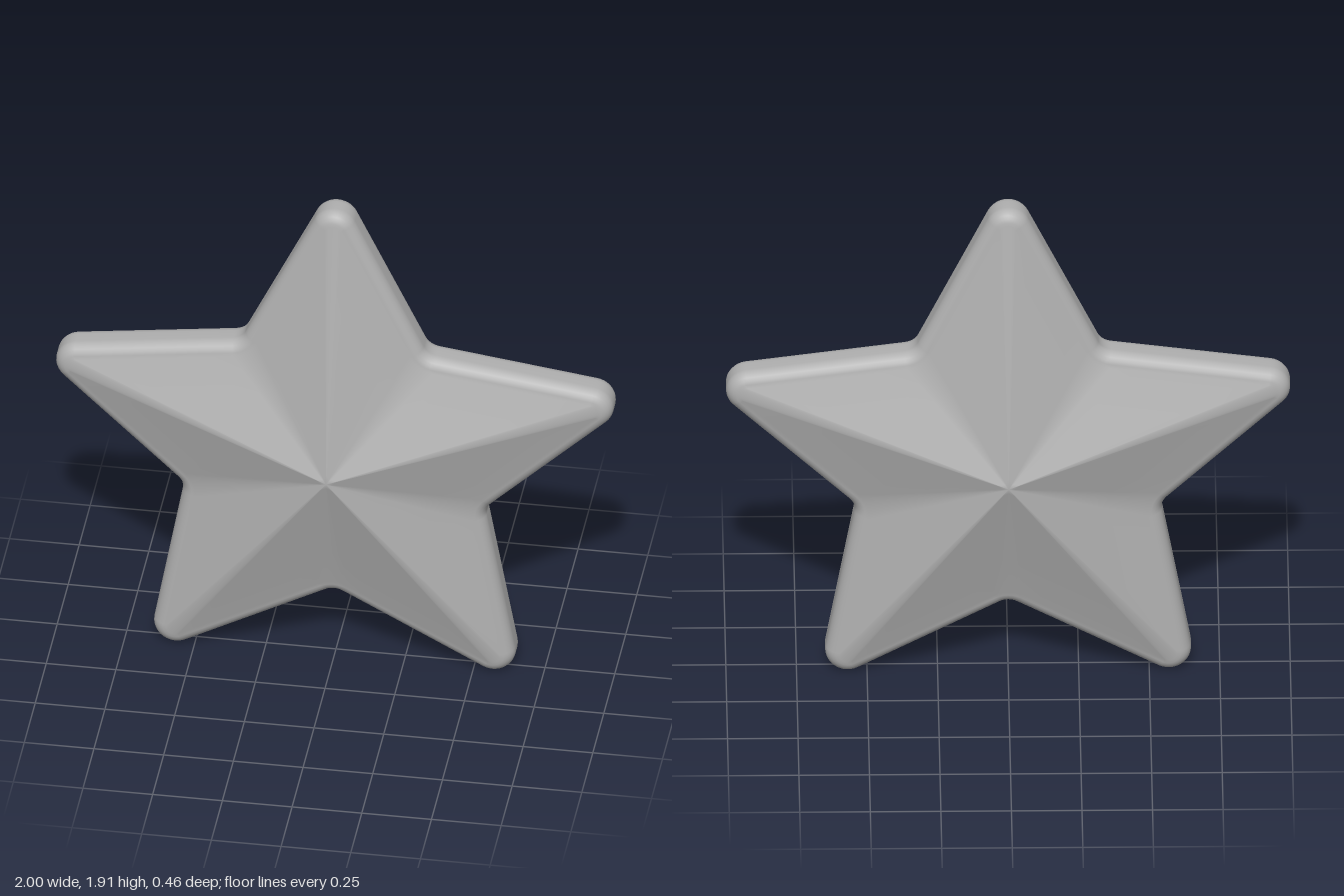
import * as THREE from 'three';

const TIP_R = 0.08;                              // rounding of the points
const TIP_D = (1 - TIP_R) / Math.cos(Math.PI / 10); // centre to rounding centre
const VALLEY_R = 0.06;                           // rounding of the inner corners
const EDGE_ANGLE = THREE.MathUtils.degToRad(64.3); // edge normal relative to its point
const APEX = 0.23, RIM_Z = 0.07, RIM_FLAT = 0.022, RIM_ROUND = 0.05;

// Rounded star outline: each entry is a point with its outward normal
function starOutline() {
  const out = [];
  const arc = (dir, dist, r, from, to, steps) => {
    for (let i = 0; i <= steps; i++) {
      const a = from + (to - from) * i / steps;
      const n = new THREE.Vector2(Math.cos(a), Math.sin(a));
      const p = new THREE.Vector2(Math.cos(dir), Math.sin(dir)).multiplyScalar(dist).addScaledVector(n, r);
      out.push({ p, n });
    }
  };
  // Evenly divide the straight edge between the last point and the next arc
  const subdivide = (list, steps) => list.flatMap((a, i) => {
    const b = list[(i + 1) % list.length];
    if (a.p.distanceTo(b.p) < 0.2) return [a];
    return Array.from({ length: steps }, (_, k) => ({ p: a.p.clone().lerp(b.p, k / steps), n: a.n }));
  });
  const half = Math.PI / 5;
  const valleyD = (TIP_D * Math.cos(EDGE_ANGLE) + TIP_R + VALLEY_R) / Math.cos(EDGE_ANGLE - half);
  for (let k = 0; k < 5; k++) {
    const t = Math.PI / 2 + k * 2 * half;
    arc(t, TIP_D, TIP_R, t - EDGE_ANGLE, t + EDGE_ANGLE, 12);
    arc(t + half, valleyD, -VALLEY_R, t + EDGE_ANGLE, t + 2 * half - EDGE_ANGLE, 6);
  }
  return subdivide(out, 6);
}

// Cross-section from the front apex, round the rim, to the back apex
function sectionRings() {
  const front = [];
  for (const s of [0.04, 0.35, 0.7]) {
    front.push({ scale: s, inset: RIM_ROUND, z: APEX + (RIM_Z - APEX) * s });
  }
  for (let i = 0; i <= 6; i++) {
    const a = Math.PI / 2 * (1 - i / 6);
    front.push({
      scale: 1,
      inset: RIM_ROUND * (1 - Math.cos(a)),
      z: RIM_FLAT + (RIM_Z - RIM_FLAT) * Math.sin(a),
    });
  }
  const back = front.map(r => ({ ...r, z: -r.z })).reverse();
  return [...front, ...back];
}

function starGeometry() {
  const outline = starOutline(), rings = sectionRings(), n = outline.length;
  const pos = [0, 0, APEX], index = [];
  for (const { scale, inset, z } of rings) {
    for (const o of outline) {
      pos.push((o.p.x - o.n.x * inset) * scale, (o.p.y - o.n.y * inset) * scale, z);
    }
  }
  pos.push(0, 0, -APEX);
  const last = 1 + rings.length * n;
  for (let i = 0; i < n; i++) {
    const j = (i + 1) % n;
    index.push(0, 1 + i, 1 + j);
    for (let r = 0; r < rings.length - 1; r++) {
      const a = 1 + r * n, b = a + n;
      index.push(a + i, b + i, b + j, a + i, b + j, a + j);
    }
    index.push(last, last - n + j, last - n + i);
  }
  const geo = new THREE.BufferGeometry();
  geo.setAttribute('position', new THREE.Float32BufferAttribute(pos, 3));
  geo.setIndex(index);
  geo.computeVertexNormals();
  return geo;
}

export function createModel() {
  const group = new THREE.Group();
  group.name = 'star';
  const grey = new THREE.MeshStandardMaterial({ color: 0xb0b0b0 });
  grey.name = 'grey';
  const body = new THREE.Mesh(starGeometry(), grey);
  body.name = 'starBody';
  // Stand on the two lower points
  body.position.y = TIP_D * Math.cos(Math.PI / 5) + TIP_R;
  group.add(body);
  return group;
}
